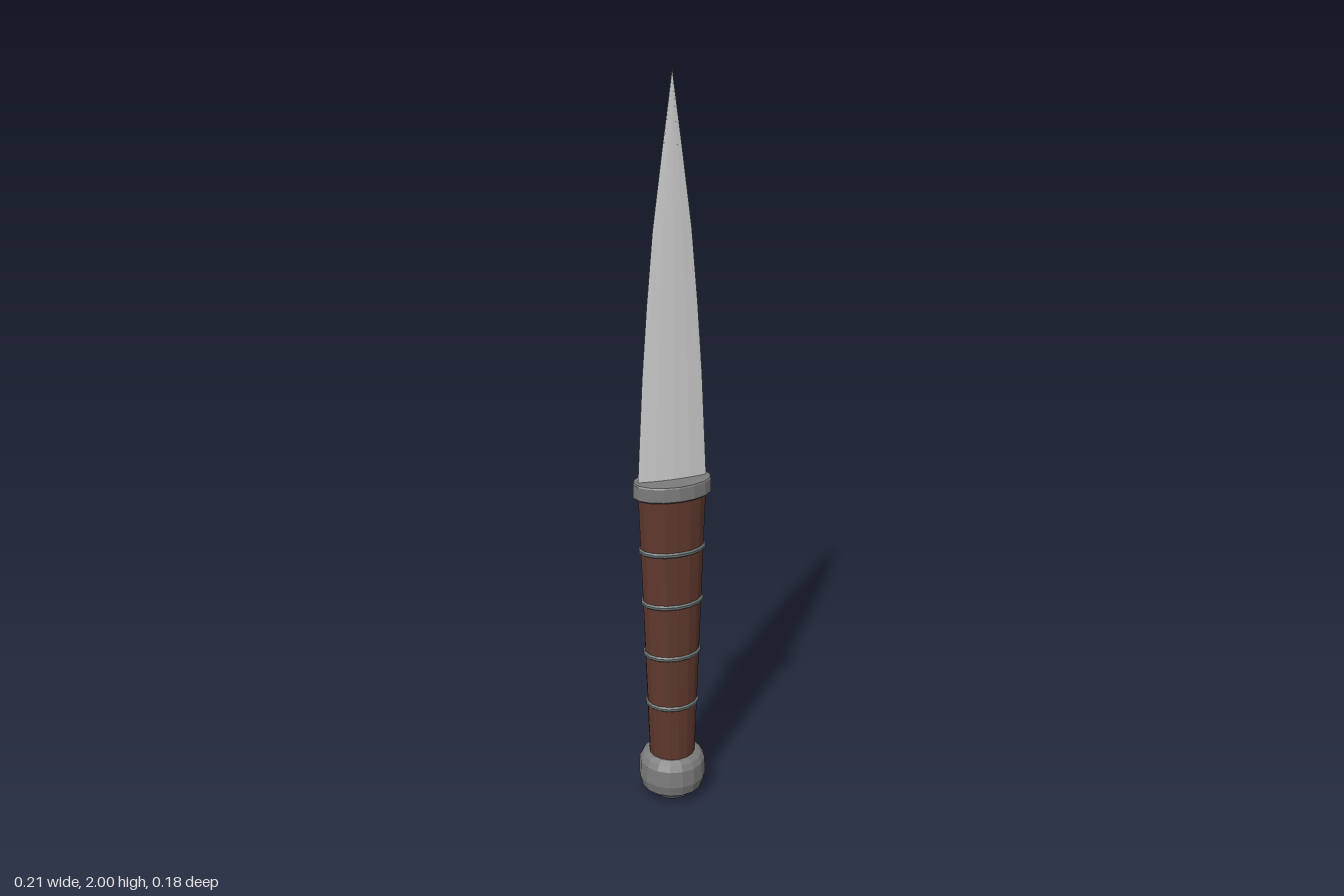
import * as THREE from 'three';

// Lofts a closed outline through levels of [y, half width, half depth]; lens gives sharp side edges
function loft(levels, sides, lens = false) {
  const pos = [], idx = [];
  for (const [y, rx, rz] of levels) {
    for (let i = 0; i < sides; i++) {
      const a = (i / sides) * Math.PI * 2;
      const s = Math.sin(a), c = Math.cos(a);
      pos.push(c * rx, y, (lens ? s * Math.abs(s) : s) * rz);
    }
  }
  const top = levels.length - 1;
  for (let j = 0; j < top; j++) {
    for (let i = 0; i < sides; i++) {
      const k = (i + 1) % sides;
      const a = j * sides + i, b = j * sides + k;
      idx.push(a, a + sides, b, b, a + sides, b + sides);
    }
  }
  // end caps
  for (let i = 1; i < sides - 1; i++) {
    idx.push(0, i, i + 1);
    idx.push(top * sides, top * sides + i + 1, top * sides + i);
  }
  const geo = new THREE.BufferGeometry();
  geo.setAttribute('position', new THREE.Float32BufferAttribute(pos, 3));
  geo.setIndex(idx);
  geo.computeVertexNormals();
  return geo;
}

export function createModel() {
  const group = new THREE.Group();
  const material = (color) => new THREE.MeshStandardMaterial({ color, flatShading: true });
  const steel = material(0xcccccc);
  const iron = material(0x7c7c7c);
  const leather = material(0x5e382d);
  const wire = material(0x66706f);

  const add = (name, geo, mat) => {
    const mesh = new THREE.Mesh(geo, mat);
    mesh.name = name;
    group.add(mesh);
  };

  // Thin leaf-shaped blade tapering to a point
  add('blade', loft([
    [0.93, 0.094, 0.008], [1.23, 0.08, 0.007], [1.42, 0.067, 0.006],
    [1.61, 0.051, 0.005], [1.8, 0.027, 0.003], [2, 0.0005, 0.0005],
  ], 12, true), steel);

  // Oval guard
  add('guard', loft([
    [0.902, 0.1, 0.058], [0.907, 0.107, 0.063],
    [0.943, 0.107, 0.063], [0.947, 0.104, 0.061],
  ], 16), iron);

  // Grip, round at the pommel and flattening into an oval at the guard
  const gripSize = (y) => {
    const t = (y - 0.12) / 0.79;
    return [0.062 + 0.031 * t, 0.061 - 0.01 * t];
  };
  add('grip', loft([0.12, 0.29, 0.445, 0.6, 0.75, 0.91].map((y) => [y, ...gripSize(y)]), 16), leather);

  // Wire bands around the grip
  [0.29, 0.443, 0.597, 0.75].forEach((y, i) => {
    const [rx, rz] = gripSize(y);
    const band = [[-0.007, 0], [-0.003, 0.005], [0.003, 0.005], [0.007, 0]];
    add(`gripBand${i + 1}`, loft(band.map(([dy, d]) => [y + dy, rx + d, rz + d]), 16), wire);
  });

  // Rounded pommel
  const pommel = [[0, 0.05], [0.009, 0.057], [0.03, 0.084], [0.06, 0.092], [0.108, 0.09], [0.124, 0.081], [0.132, 0.068]];
  add('pommel', loft(pommel.map(([y, r]) => [y, r, r]), 16), iron);

  return group;
}
